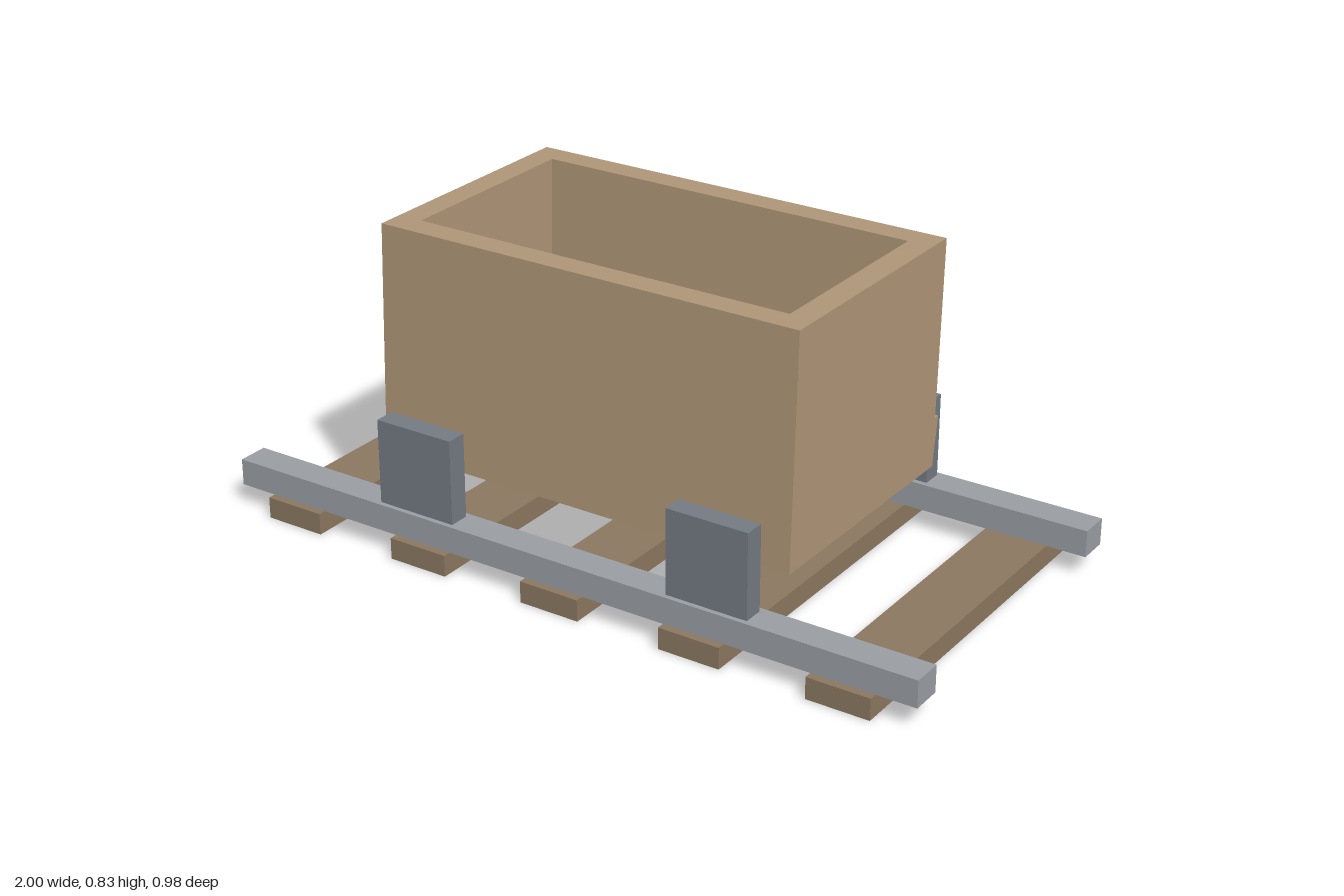
import * as THREE from 'three';

const wood = new THREE.MeshStandardMaterial({ color: 0xb09678 });
wood.name = 'light wood';
const darkWood = new THREE.MeshStandardMaterial({ color: 0x8c7860 });
darkWood.name = 'dark wood';
const steel = new THREE.MeshStandardMaterial({ color: 0x9a9ea4 });
steel.name = 'rail steel';
const darkSteel = new THREE.MeshStandardMaterial({ color: 0x747b83 });
darkSteel.name = 'bracket steel';

function add(parent, name, geometry, material, x = 0, y = 0, z = 0) {
  const mesh = new THREE.Mesh(geometry, material);
  mesh.name = name;
  mesh.position.set(x, y, z);
  parent.add(mesh);
}

// Prism along x from a side profile of [z, y] points
function prism(points, width) {
  const shape = new THREE.Shape(points.map(([z, y]) => new THREE.Vector2(z, y)));
  const geometry = new THREE.ExtrudeGeometry(shape, { depth: width, bevelEnabled: false });
  return geometry.translate(0, 0, -width / 2).rotateY(-Math.PI / 2);
}

export function createModel() {
  const model = new THREE.Group();
  model.name = 'railCart';

  // Sleepers
  for (let i = -2; i <= 2; i++) {
    add(model, 'sleeper', new THREE.BoxGeometry(0.17, 0.058, 0.984), darkWood, i * 0.404, 0.029, 0);
  }

  // Rails with two upright brackets each
  for (const side of [1, -1]) {
    add(model, 'rail', new THREE.BoxGeometry(2, 0.072, 0.084), steel, 0, 0.094, side * 0.429);
    for (const x of [-0.43, 0.43]) {
      add(model, 'bracket', new THREE.BoxGeometry(0.226, 0.228, 0.056), darkSteel, x, 0.244, side * 0.43);
    }
  }

  // Open box, leaning slightly backwards, on a floor with a small rear ledge
  const box = new THREE.Group();
  box.name = 'box';
  model.add(box);
  const bottom = 0.225, floor = 0.357, top = 0.83;
  const lean = (y) => (top - y) * 0.035;
  const wall = (z0, z1) => [
    [z0 + lean(floor), floor], [z1 + lean(floor), floor], [z1, top], [z0, top],
  ];
  add(box, 'boxFloor', prism([
    [-0.322, bottom], [0.342 + lean(bottom), bottom], [0.342 + lean(floor), floor], [-0.342, floor],
  ], 1.196), wood);
  add(box, 'frontWall', prism(wall(0.273, 0.342), 1.196), wood);
  add(box, 'backWall', prism(wall(-0.342, -0.273), 1.196), wood);
  for (const side of [1, -1]) {
    add(box, 'endWall', prism(wall(-0.273, 0.273), 0.068), wood, side * 0.564);
  }

  return model;
}
